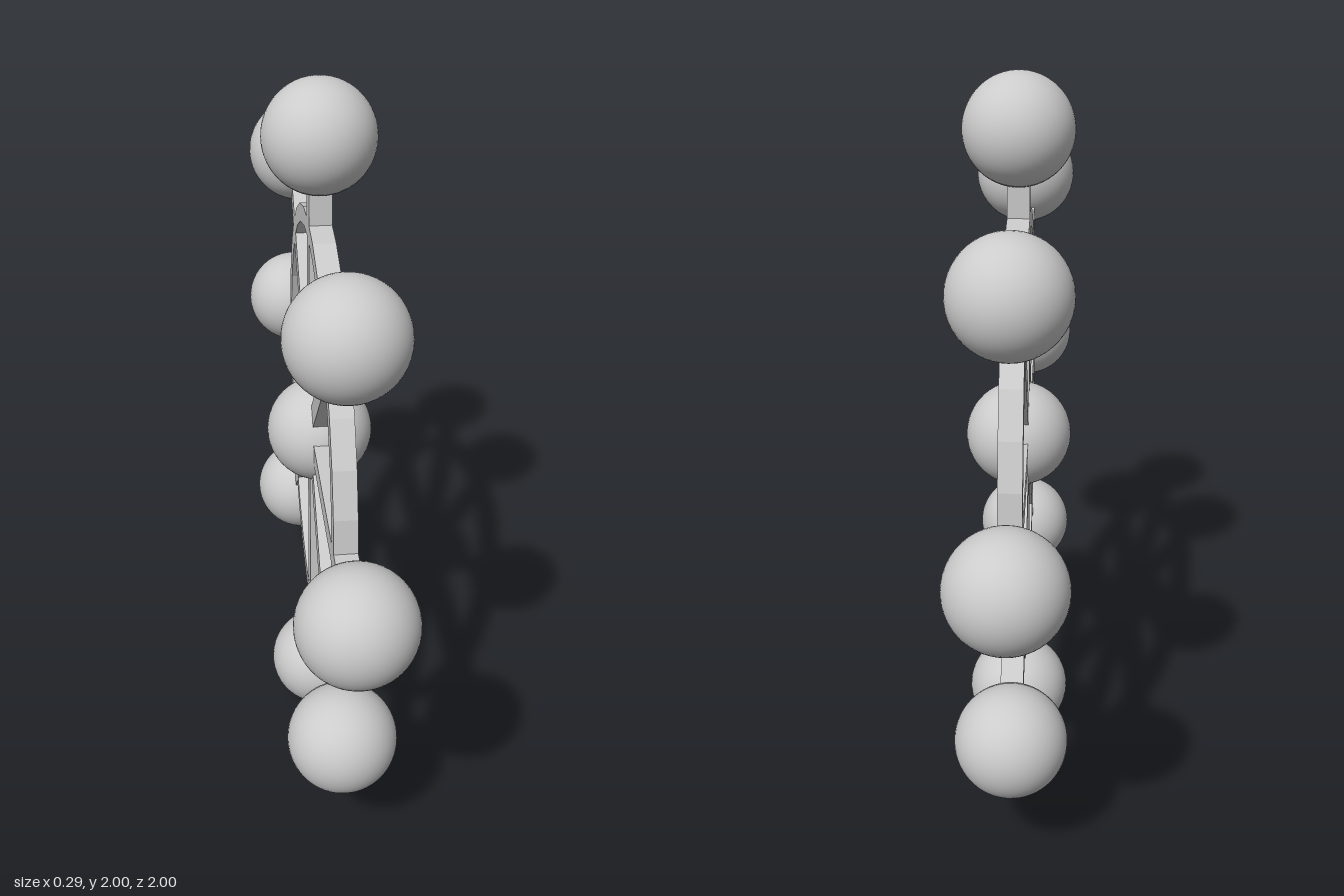
import * as THREE from 'three';

const R = 0.147;          // ball radius
const REACH = 1 - R;      // hub to ball centre
const T = 0.03;           // half thickness of spokes and rim

export function createModel() {
  const model = new THREE.Group();
  model.name = 'spokedWheel';
  const smooth = new THREE.MeshStandardMaterial({ color: 0xcccccc });
  const flat = new THREE.MeshStandardMaterial({ color: 0xcccccc, flatShading: true });

  const add = (name, geometry, material, parent) => {
    const mesh = new THREE.Mesh(geometry, material);
    mesh.name = name;
    parent.add(mesh);
    return mesh;
  };

  // Wheel lies in the YZ plane around its hub
  const wheel = new THREE.Group();
  wheel.name = 'wheel';
  wheel.position.y = 1;
  model.add(wheel);

  const ball = new THREE.SphereGeometry(R, 48, 32);
  add('hub', ball, smooth, wheel);

  // Rim: square section swept in 32 flat facets
  const section = [[0.58, -T], [0.63, -T], [0.63, T], [0.58, T], [0.58, -T]]
    .map(([x, y]) => new THREE.Vector2(x, y));
  add('rim', new THREE.LatheGeometry(section, 32), flat, wheel).rotation.z = Math.PI / 2;

  // Eight arms, each a spoke with a ball at its tip
  const spoke = new THREE.BoxGeometry(2 * T, REACH, 2 * T);
  for (let i = 0; i < 8; i++) {
    const arm = new THREE.Group();
    arm.name = `arm${i + 1}`;
    arm.rotation.x = i * Math.PI / 4;
    add('spoke', spoke, flat, arm).position.y = REACH / 2;
    add('tipBall', ball, smooth, arm).position.y = REACH;
    wheel.add(arm);
  }
  return model;
}
